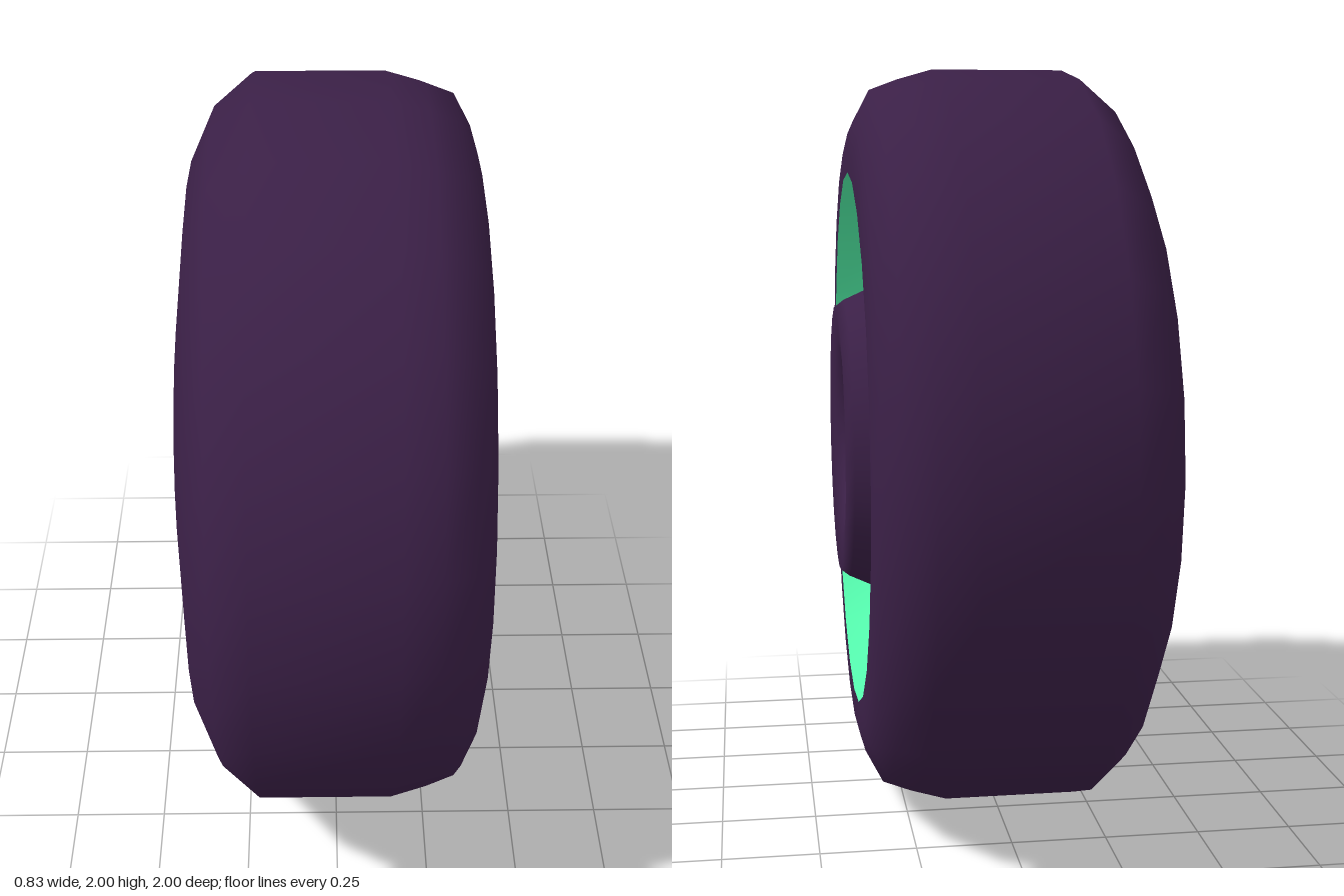
import * as THREE from 'three';

const SIDES = 24;

// Revolves a profile of [x, radius] pairs around the x axis.
function revolve(name, color, profile) {
  const points = profile.map(([x, r]) => new THREE.Vector2(r, x));
  const geometry = new THREE.LatheGeometry(points, SIDES);
  geometry.rotateZ(-Math.PI / 2);
  const mesh = new THREE.Mesh(geometry, new THREE.MeshStandardMaterial({ color }));
  mesh.name = name;
  return mesh;
}

export function createModel() {
  const wheel = new THREE.Group();
  wheel.name = 'wheel';
  const dark = 0x3b2047;
  const green = 0x54f8ac;

  wheel.add(
    // Closed slightly domed back, rounded tread and outer sidewall
    revolve('tire', dark, [
      [-0.415, 0], [-0.415, 0.42], [-0.375, 0.77], [-0.31, 0.915], [-0.21, 1],
      [0.145, 1], [0.24, 0.973], [0.315, 0.945], [0.36, 0.86], [0.375, 0.8], [0.375, 0.727],
    ]),
    // Rounded channel between sidewall and hub
    revolve('rim', green, [
      [0.375, 0.727], [0.28, 0.7], [0.2, 0.65], [0.165, 0.58], [0.18, 0.51], [0.24, 0.45],
    ]),
    // Tapered hub whose face rolls into the centre hole
    revolve('hub', dark, [
      [0.24, 0.45], [0.39, 0.382], [0.412, 0.365], [0.405, 0.27], [0.385, 0.215], [0.33, 0.175],
    ]),
    // Dished centre cap
    revolve('hubCap', green, [
      [0.33, 0.175], [0.27, 0.13], [0.24, 0.07], [0.23, 0],
    ]),
  );
  wheel.position.y = 1;

  const model = new THREE.Group();
  model.add(wheel);
  return model;
}
